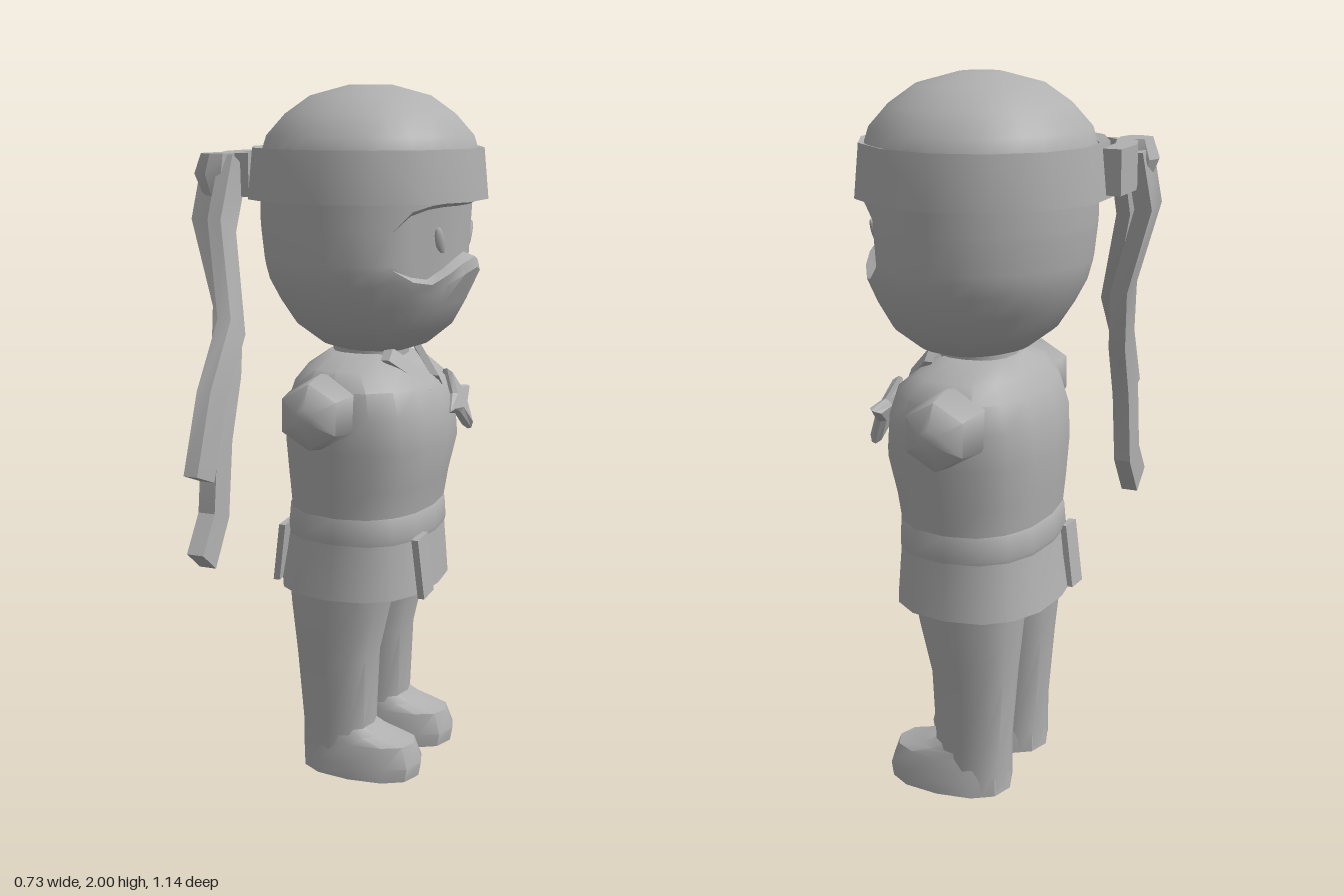
import * as THREE from 'three';
import { toCreasedNormals } from 'three/addons/utils/BufferGeometryUtils.js';

const V = (x, y, z) => new THREE.Vector3(x, y, z);
const MID = -0.158; // side-to-side middle of the figure, which faces +x

// Joins rings of points (counter-clockwise seen from the end ring) and caps both ends.
function loft(rings, crease = 0.65) {
  const n = rings[0].length, pos = [], idx = [];
  const add = (p) => pos.push(p.x, p.y, p.z);
  rings.forEach((r) => r.forEach(add));
  for (let i = 0; i < rings.length - 1; i++) {
    for (let j = 0; j < n; j++) {
      const k = (j + 1) % n, a = i * n + j, b = i * n + k;
      idx.push(a, b, b + n, a, b + n, a + n);
    }
  }
  [0, rings.length - 1].forEach((e) => {
    const c = V(0, 0, 0), m = pos.length / 3;
    rings[e].forEach((p) => c.addScaledVector(p, 1 / n));
    add(c);
    for (let j = 0; j < n; j++) {
      const a = e * n + j, b = e * n + (j + 1) % n;
      if (e) idx.push(a, b, m); else idx.push(b, a, m);
    }
  });
  const g = new THREE.BufferGeometry();
  g.setAttribute('position', new THREE.Float32BufferAttribute(pos, 3));
  g.setIndex(idx);
  return toCreasedNormals(g, crease);
}

// Horizontal rounded outline from x0 to x1, half width w about cz.
function ring(y, x0, x1, w, cz = MID, n = 16, power = 2.4) {
  const out = [], f = (v) => Math.sign(v) * Math.abs(v) ** (2 / power);
  for (let j = 0; j < n; j++) {
    const a = (j / n) * Math.PI * 2;
    out.push(V((x0 + x1) / 2 + f(Math.cos(a)) * (x1 - x0) / 2, y, cz - f(Math.sin(a)) * w));
  }
  return out;
}

// Flat cloth strip along a path; wide in the y-z plane, thin in x.
function strip(path, width, thick) {
  return loft(path.map((p, i) => {
    const a = path[Math.max(i - 1, 0)], b = path[Math.min(i + 1, path.length - 1)];
    const t = V(0, b.y - a.y, b.z - a.z).normalize();
    const s = V(0, -t.z, t.y).multiplyScalar(width / 2), d = V(thick / 2, 0, 0);
    return [p.clone().add(s).add(d), p.clone().sub(d).add(s), p.clone().sub(s).sub(d), p.clone().sub(s).add(d)].reverse();
  }), 0.5);
}

// Head with a recessed eye opening in the mask.
function headGeometry() {
  const N = 32;
  const prof = [[1.25, 0.08], [1.275, 0.155], [1.33, 0.225], [1.4, 0.267], [1.47, 0.3], [1.55, 0.31],
    [1.7, 0.312], [1.8, 0.312], [1.86, 0.293], [1.92, 0.24], [1.97, 0.17], [2.0, 0.06]];
  const radius = (y) => {
    const i = Math.max(1, prof.findIndex((p) => p[0] >= y));
    const [a, b] = [prof[i - 1], prof[i]];
    return a[1] + (b[1] - a[1]) * (y - a[0]) / (b[0] - a[0]);
  };
  const lo = [1.53, 1.515, 1.49, 1.465, 1.475, 1.51], hi = [1.685, 1.685, 1.685, 1.68, 1.665, 1.62];
  const recess = (k) => (k < 4 ? 0.905 : k < 5 ? 0.935 : 1);
  const row = (fn) => Array.from({ length: N }, (_, j) => {
    const k = Math.min(j, N - j), a = (j / N) * Math.PI * 2;
    const [y, s] = fn(k);
    const r = radius(y) * s;
    const x = 0.037 + Math.max(0, 1.62 - y) * 0.06 + r * Math.cos(a);
    return V(x, y, -0.162 - r * 1.06 * Math.sin(a));
  });
  const flat = (y) => row(() => [y, 1]);
  return loft([
    ...[1.25, 1.275, 1.33, 1.4].map(flat),
    row((k) => [k < 6 ? lo[k] - 0.03 : 1.46, k === 0 ? 1.05 : k === 1 ? 1.03 : 1]),
    row((k) => [k < 6 ? lo[k] : 1.5, k === 0 ? 1.02 : 1]),
    row((k) => (k < 6 ? [lo[k] + 0.012, recess(k)] : [1.52, 1])),
    row((k) => (k < 6 ? [hi[k] - 0.012, recess(k) ** 0.7] : [1.6, 1])),
    row((k) => [k < 6 ? hi[k] : 1.62, 1]),
    ...[1.7, 1.8, 1.86, 1.92, 1.97, 2.0].map(flat),
  ]);
}

// Four-pointed throwing star, facing +z.
function starGeometry() {
  const s = new THREE.Shape();
  for (let i = 0; i < 8; i++) {
    const a = i * Math.PI / 4, r = i % 2 ? 0.045 : 0.1;
    s[i ? 'lineTo' : 'moveTo'](r * Math.cos(a), r * Math.sin(a));
  }
  return new THREE.ExtrudeGeometry(s, { depth: 0.012, bevelThickness: 0.012, bevelSize: 0.012, bevelOffset: -0.012, bevelSegments: 1 });
}

export function createModel() {
  const group = new THREE.Group();
  const grey = new THREE.MeshStandardMaterial({ color: 0xb0b0b0 });
  grey.name = 'grey';
  const add = (name, geo) => {
    const m = new THREE.Mesh(geo, grey);
    m.name = name;
    group.add(m);
    return m;
  };

  // Head and headband
  add('head', headGeometry());
  const band = new THREE.LatheGeometry([[0.3, 1.69], [0.35, 1.685], [0.336, 1.828], [0.308, 1.822], [0.3, 1.69]]
    .map((p) => new THREE.Vector2(...p)), 14);
  const bandMesh = add('headband', toCreasedNormals(band, 0.6));
  bandMesh.position.set(0.027, 0, -0.165);
  bandMesh.scale.set(0.992, 1, 1.015);

  // Overlapping band end, knot and ribbon tails at the back
  add('bandEnd', strip([V(-0.32, 1.755, -0.15), V(-0.322, 1.755, -0.03), V(-0.295, 1.755, 0.06), V(-0.25, 1.755, 0.1)], 0.12, 0.06));
  add('knot', loft([ring(1.7, -0.34, -0.26, 0.045, 0.125, 8), ring(1.76, -0.365, -0.255, 0.06, 0.125, 8),
    ring(1.815, -0.345, -0.255, 0.05, 0.125, 8)]));
  add('longRibbon', strip([V(-0.265, 1.79, 0.1), V(-0.26, 1.62, 0.185), V(-0.18, 1.36, 0.29), V(-0.16, 1.19, 0.45), V(-0.16, 0.99, 0.525)], 0.1, 0.04));
  add('lowRibbon', strip([V(-0.315, 1.79, 0.1), V(-0.335, 1.63, 0.13), V(-0.26, 1.39, 0.155), V(-0.235, 1.22, 0.22),
    V(-0.22, 1.05, 0.31), V(-0.22, 0.84, 0.335), V(-0.215, 0.73, 0.42)], 0.09, 0.05));

  // Slanted eyes inside the opening
  [-1, 1].forEach((s) => {
    const eye = add(s > 0 ? 'leftEye' : 'rightEye', new THREE.SphereGeometry(0.045, 8, 6));
    const a = 0.43;
    eye.scale.set(0.2, 1, 0.4);
    eye.position.set(0.037 + 0.286 * Math.cos(a), 1.58, MID + s * 0.294 * Math.sin(a));
    eye.rotation.set(s * 0.5, -s * a, 0);
  });

  // Neck, torso, belt and skirt
  add('neck', loft([ring(1.15, -0.06, 0.15, 0.11), ring(1.32, -0.06, 0.15, 0.11)]));
  add('torso', loft([
    ring(0.76, -0.165, 0.24, 0.262), ring(0.88, -0.178, 0.26, 0.27), ring(0.99, -0.186, 0.285, 0.285),
    ring(1.09, -0.182, 0.275, 0.291), ring(1.165, -0.155, 0.247, 0.28),
    ring(1.215, -0.115, 0.185, 0.24), ring(1.25, -0.07, 0.13, 0.13),
  ]));
  add('belt', loft([ring(0.72, -0.174, 0.25, 0.268), ring(0.735, -0.179, 0.254, 0.27),
    ring(0.795, -0.174, 0.25, 0.266), ring(0.808, -0.166, 0.242, 0.261)]));
  // The underside of the skirt rises towards the legs
  add('skirt', loft([ring(0.61, -0.14, 0.18, 0.24), ring(0.56, -0.2, 0.262, 0.284),
    ring(0.65, -0.184, 0.255, 0.277), ring(0.74, -0.172, 0.248, 0.266)]));
  add('frontFlap', strip([V(0.264, 0.558, -0.05), V(0.248, 0.735, -0.035)], 0.08, 0.02));
  add('backFlap', strip([V(-0.197, 0.558, -0.05), V(-0.17, 0.735, -0.035)], 0.08, 0.02));

  // Crossed collar
  [-1, 1].forEach((s) => add(s > 0 ? 'leftLapel' : 'rightLapel',
    strip([V(0.238, 1.165, MID + s * 0.03), V(0.14, 1.255, MID + s * 0.115)], 0.045, 0.025)));

  // Star on the chest
  const star = add('chestStar', starGeometry());
  star.position.set(0.26, 1.09, -0.295);
  star.rotation.set(0, Math.PI / 2, 0);
  star.rotateX(-0.33);
  star.rotateZ(0.25);

  [-1, 1].forEach((s) => {
    const side = s > 0 ? 'left' : 'right';
    // Short blunt arm stub
    const arm = add(side + 'Arm', loft([[0.2, 0.09], [0.285, 0.108], [0.37, 0.093], [0.408, 0.03]]
      .map(([y, r]) => ring(y, -r, r, r, 0, 6, 2)), 1.1));
    arm.rotation.set(s * Math.PI / 2, Math.PI / 6, 0);
    arm.position.set(0.012, 1.11, MID);
    // Tapered leg
    const z = MID + s * 0.14;
    add(side + 'Leg', loft([ring(0.02, -0.098, 0.115, 0.093, z, 12), ring(0.15, -0.1, 0.118, 0.09, z, 12),
      ring(0.36, -0.117, 0.125, 0.105, z, 12), ring(0.52, -0.135, 0.162, 0.12, z, 12), ring(0.65, -0.145, 0.185, 0.124, z, 12)]));
    // Shoe
    add(side + 'Shoe', loft([ring(0.005, -0.1, 0.26, 0.112, z, 12), ring(0.045, -0.1, 0.267, 0.11, z, 12),
      ring(0.105, -0.095, 0.245, 0.092, z, 12), ring(0.125, -0.085, 0.165, 0.086, z, 12), ring(0.15, -0.08, 0.115, 0.08, z, 12)]));
  });

  return group;
}
